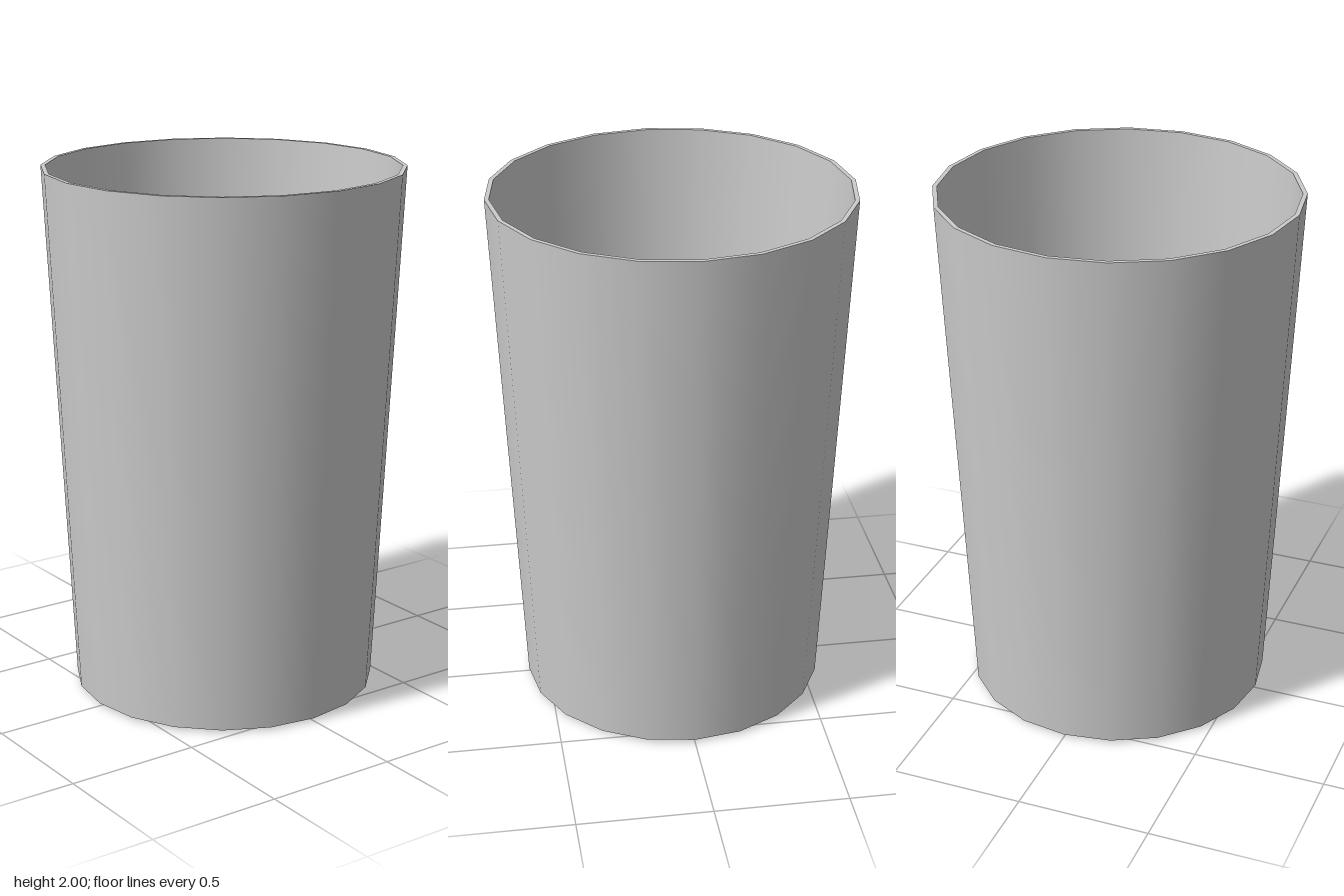
import * as THREE from 'three';

const SIDES = 20;

export function createModel() {
  const cup = new THREE.Group();
  cup.name = 'cup';
  const material = new THREE.MeshStandardMaterial({ color: 0xcccccc });

  // Each section is its own lathe, so edges between sections stay sharp.
  const addSection = (name, from, to) => {
    const profile = [new THREE.Vector2(...from), new THREE.Vector2(...to)];
    const mesh = new THREE.Mesh(new THREE.LatheGeometry(profile, SIDES), material);
    mesh.name = name;
    cup.add(mesh);
  };

  // Profile as [radius, height]: under the base, up the outside, down the inside
  const baseCentre = [0, 0];
  const baseEdge = [0.575, 0.01];
  const rimOuter = [0.672, 2];
  const rimInner = [0.655, 2];
  const floorEdge = [0.558, 0.025];
  const floorCentre = [0, 0.02];

  addSection('base', baseCentre, baseEdge);
  addSection('outerWall', baseEdge, rimOuter);
  addSection('rim', rimOuter, rimInner);
  addSection('innerWall', rimInner, floorEdge);
  addSection('floor', floorEdge, floorCentre);

  return cup;
}
